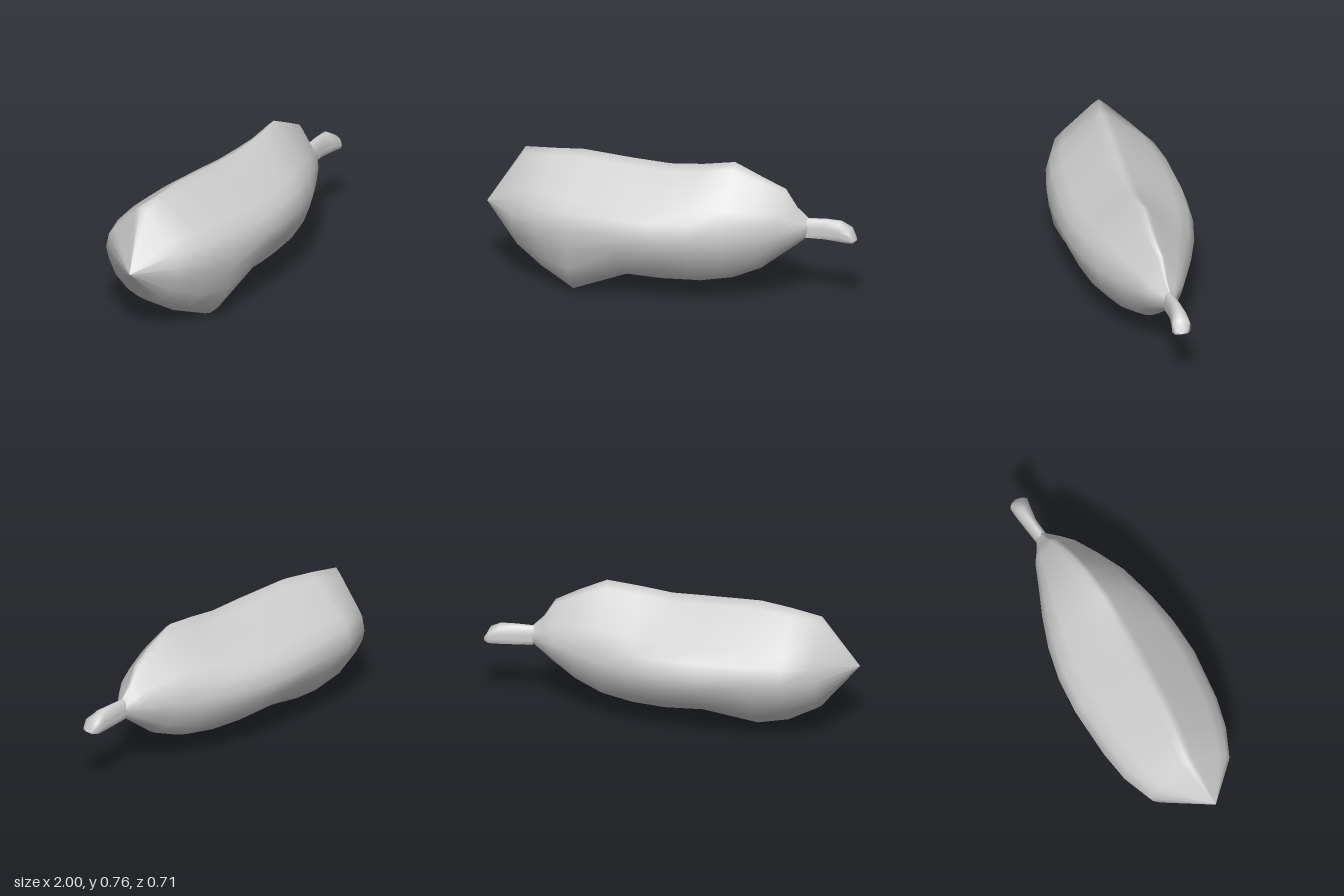
import * as THREE from 'three';

// Quarter profiles [sideways fraction, vertical fraction], from the side to the ridge
const RIDGED = [[1, 0], [0.92, 0.27], [0.74, 0.43], [0.4, 0.7], [0.14, 0.91], [0, 1]];
const ROUND = [[1, 0], [0.93, 0.27], [0.77, 0.6], [0.48, 0.86], [0.2, 0.97], [0, 1]];
const SQUARE = [[1, 0], [1, 0.5], [1, 1], [0.7, 1], [0.35, 1], [0, 1]];

// Cross-sections: x, top y, bottom y, widest y, front z, back z, top ridge z, bottom z
const BODY = [
  [-1, 0.385, 0.385, 0.385, 0.05, 0.05, 0.05, 0.05],
  [-0.81, 0.69, 0.16, 0.4, 0.235, -0.24, -0.02, 0.03],
  [-0.65, 0.71, 0.06, 0.4, 0.30, -0.305, 0, 0.08],
  [-0.48, 0.73, 0.0, 0.4, 0.335, -0.335, 0.01, 0.16],
  [-0.2, 0.72, 0.09, 0.4, 0.355, -0.355, 0.02, 0.05],
  [0, 0.715, 0.08, 0.4, 0.34, -0.345, 0.02, 0.03],
  [0.18, 0.735, 0.085, 0.4, 0.305, -0.31, 0.02, 0.02],
  [0.35, 0.76, 0.115, 0.4, 0.25, -0.255, 0, 0],
  [0.5, 0.69, 0.18, 0.41, 0.17, -0.195, -0.01, -0.01],
  [0.62, 0.63, 0.275, 0.42, 0.095, -0.15, -0.03, -0.03],
  [0.68, 0.53, 0.322, 0.42, 0.045, -0.11, -0.04, -0.04],
  [0.74, 0.47, 0.37, 0.42, -0.02, -0.08, -0.05, -0.05],
];
const STEM = [
  [0.73, 0.47, 0.37, 0.42, -0.02, -0.08, -0.05, -0.05],
  [0.83, 0.475, 0.37, 0.42, -0.03, -0.095, -0.06, -0.06],
  [0.91, 0.472, 0.37, 0.42, -0.022, -0.107, -0.065, -0.065],
  [0.965, 0.44, 0.37, 0.41, -0.012, -0.112, -0.065, -0.065],
  [0.99, 0.39, 0.37, 0.38, -0.025, -0.09, -0.065, -0.065],
  [1, 0.375, 0.375, 0.375, -0.06, -0.06, -0.06, -0.06],
];

// One closed outline: front side, over the top, down the back and under
function section([x, top, bottom, mid, front, back, zTop, zBottom], upper, lower) {
  const quarter = (profile, side, end, zEnd) => profile.map(([a, b]) =>
    [x, mid + (end - mid) * b, zEnd + (side - zEnd) * a]);
  return [
    ...quarter(upper, front, top, zTop).slice(0, -1),
    ...quarter(upper, back, top, zTop).reverse().slice(0, -1),
    ...quarter(lower, back, bottom, zBottom).slice(0, -1),
    ...quarter(lower, front, bottom, zBottom).reverse().slice(0, -1),
  ];
}

// Smooth skin over the cross-sections
function loft(rows, upper, lower) {
  const rings = rows.map((row) => section(row, upper, lower));
  const n = rings[0].length;
  const index = [];
  for (let i = 0; i < rings.length - 1; i++) {
    for (let j = 0; j < n; j++) {
      const k = (j + 1) % n;
      const a = i * n + j, b = a + n, c = i * n + k, d = c + n;
      index.push(a, b, d, a, d, c);
    }
  }
  const geometry = new THREE.BufferGeometry();
  geometry.setAttribute('position', new THREE.Float32BufferAttribute(rings.flat(2), 3));
  geometry.setIndex(index);
  geometry.computeVertexNormals();
  return geometry;
}

export function createModel() {
  const group = new THREE.Group();
  group.name = 'fruit';
  const material = new THREE.MeshStandardMaterial({ color: 0xcccccc });

  const body = new THREE.Mesh(loft(BODY, RIDGED, ROUND), material);
  body.name = 'fruitBody';

  // Short stalk with a rounded top and flat underside
  const stem = new THREE.Mesh(loft(STEM, ROUND, SQUARE), material);
  stem.name = 'stem';

  group.add(body, stem);
  return group;
}
